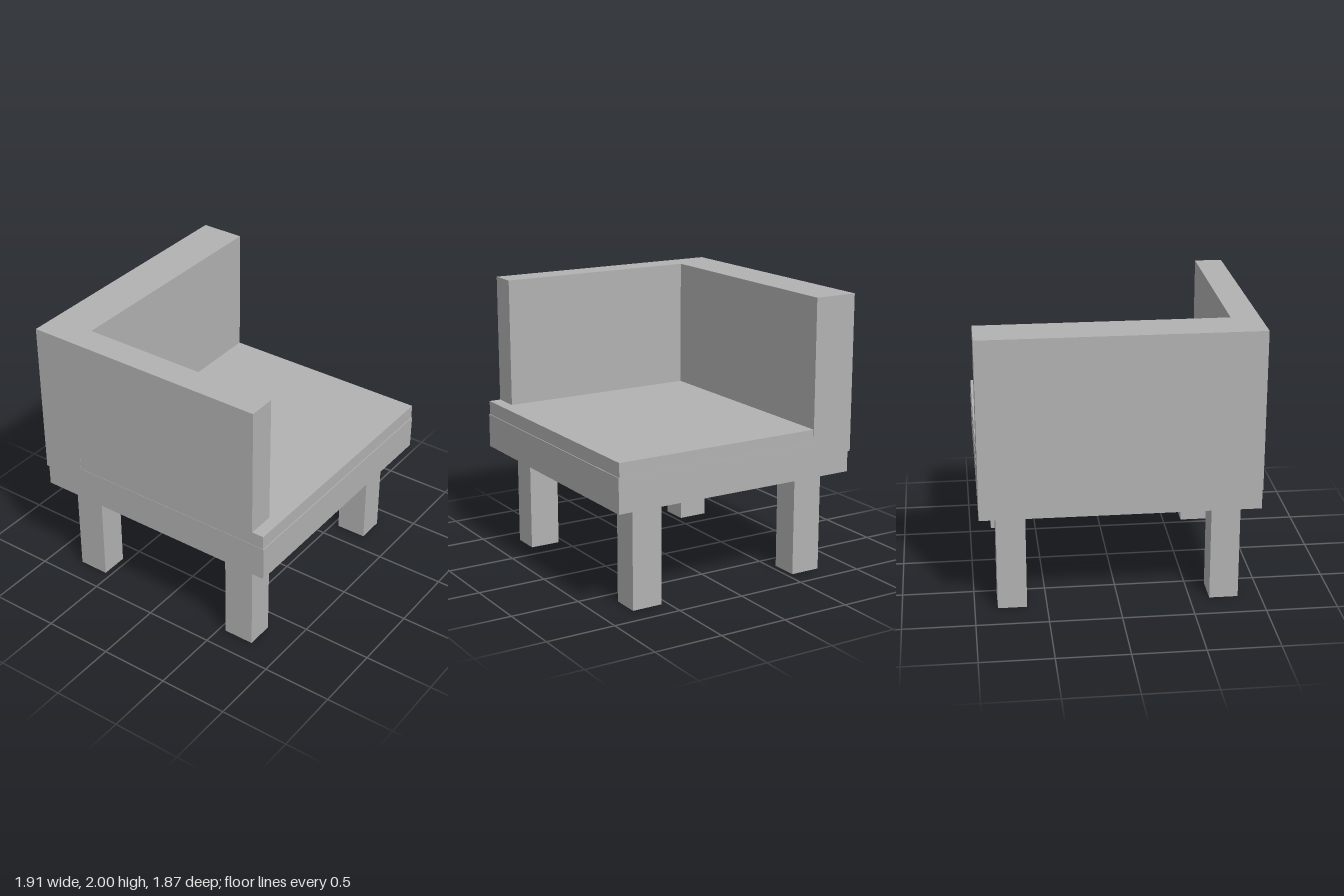
import * as THREE from 'three';

export function createModel() {
  const model = new THREE.Group();
  model.name = 'cornerSeat';
  const grey = new THREE.MeshStandardMaterial({ color: 0xb2b2b2 });
  grey.name = 'grey';

  // Box given by its extents on each axis
  const addBox = (name, [x0, x1], [y0, y1], [z0, z1]) => {
    const mesh = new THREE.Mesh(new THREE.BoxGeometry(x1 - x0, y1 - y0, z1 - z0), grey);
    mesh.position.set((x0 + x1) / 2, (y0 + y1) / 2, (z0 + z1) / 2);
    mesh.name = name;
    model.add(mesh);
  };

  // Seat base and the slightly set-back cushion on it
  addBox('seatBase', [-0.957, 0.957], [0.735, 0.98], [-0.915, 0.938]);
  addBox('cushion', [-0.955, 0.955], [0.98, 1.08], [-0.915, 0.932]);

  // Backrest overhanging the base at the rear, and the single arm
  addBox('backrest', [-0.957, 0.957], [0.88, 2], [-0.935, -0.615]);
  addBox('armrest', [-0.957, -0.76], [1.08, 2], [-0.615, 0.845]);

  // Four square legs
  for (const x of [-0.74, 0.74]) {
    for (const z of [-0.657, 0.657]) {
      addBox(`${z > 0 ? 'front' : 'back'}${x > 0 ? 'Left' : 'Right'}Leg`,
        [x - 0.101, x + 0.101], [0, 0.735], [z - 0.112, z + 0.112]);
    }
  }
  return model;
}
